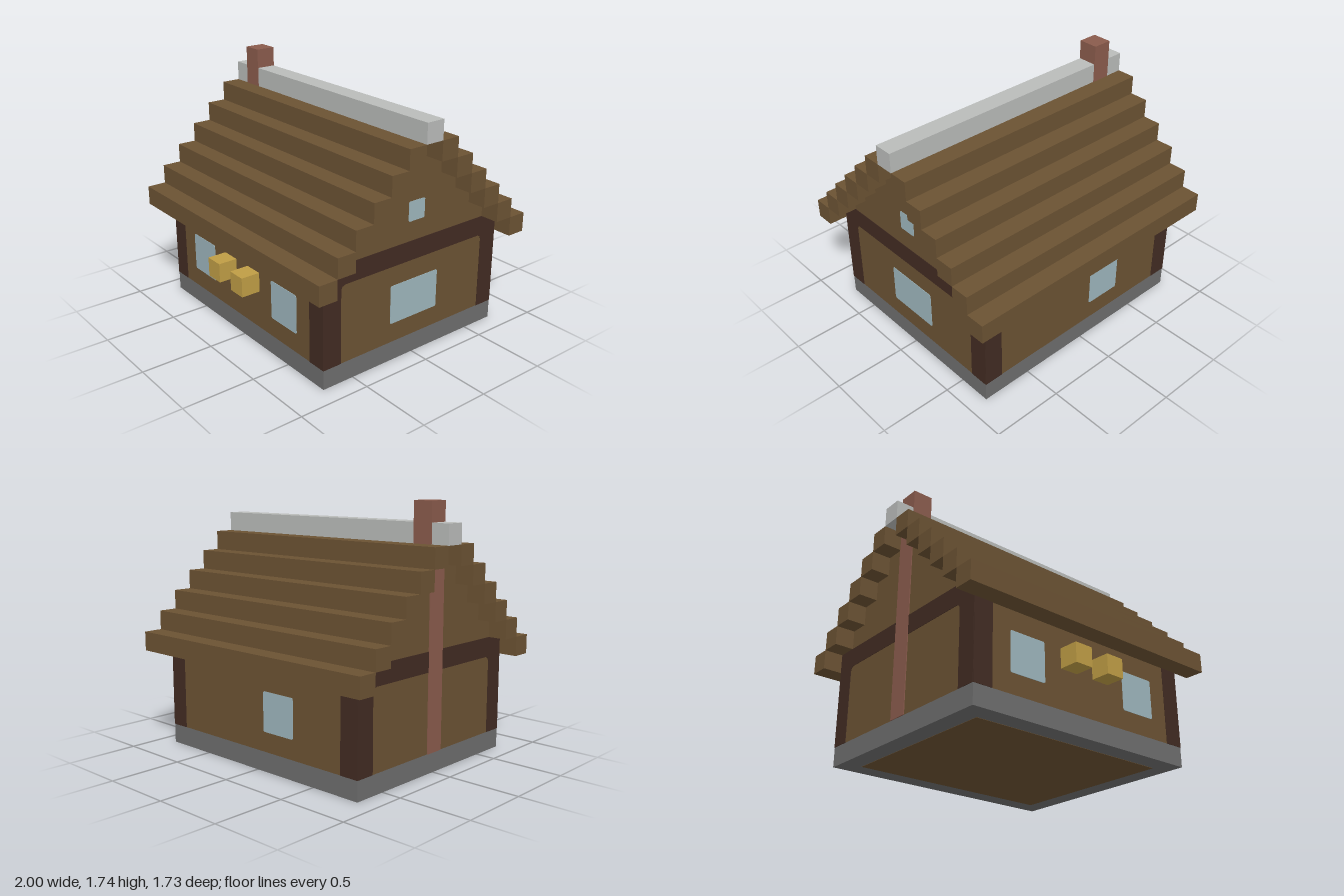
import * as THREE from 'three';

const U = 2 / 15;                 // building block size
const HX = 6.5 * U, HZ = 5.5 * U; // half width and half depth of the house
const T = 0.003;                  // thickness of flat details

function material(name, color) {
  const m = new THREE.MeshStandardMaterial({ color });
  m.name = name;
  return m;
}

export function createModel() {
  const wood = material('brown wood', 0x6b5233);
  const beam = material('dark beam', 0x412b22);
  const stone = material('grey stone', 0x6d6d6d);
  const glass = material('pale blue glass', 0x9db5bc);
  const brass = material('lamp yellow', 0xbf9d45);
  const brick = material('chimney brick', 0x8a5b4c);
  const cap = material('light grey ridge', 0xb9bbb9);

  const house = new THREE.Group();
  house.name = 'house';

  // Box between two corners
  function box(name, mat, x0, x1, y0, y1, z0, z1) {
    const mesh = new THREE.Mesh(new THREE.BoxGeometry(x1 - x0, y1 - y0, z1 - z0), mat);
    mesh.position.set((x0 + x1) / 2, (y0 + y1) / 2, (z0 + z1) / 2);
    mesh.name = name;
    house.add(mesh);
  }

  // Thin outline plate laid on a wall; angle turns it to face that wall's way
  function plate(name, mat, points, angle, distance) {
    const shape = new THREE.Shape(points.map(([x, y]) => new THREE.Vector2(x, y)));
    const geo = new THREE.ExtrudeGeometry(shape, { depth: T, bevelEnabled: false });
    geo.translate(0, 0, distance).rotateY(angle);
    const mesh = new THREE.Mesh(geo, mat);
    mesh.name = name;
    house.add(mesh);
  }

  // Window pane with clipped corners
  function pane(name, x0, x1, y0, y1, angle, distance) {
    const c = 0.008;
    plate(name, glass, [
      [x0 + c, y0], [x1 - c, y0], [x1, y0 + c], [x1, y1 - c],
      [x1 - c, y1], [x0 + c, y1], [x0, y1 - c], [x0, y0 + c],
    ], angle, distance);
  }

  // Stone footing, floor and walls
  box('footing', stone, -HX, HX, 0, U, -HZ, HZ);
  box('floor', wood, -HX + U, HX - U, -0.002, 0.01, -HZ + U, HZ - U);
  box('walls', wood, -HX, HX, U, 6 * U, -HZ, HZ);

  // Stepped gable and roof courses
  for (let i = 0; i < 6; i++) {
    const y0 = (5 + i) * U, z0 = (5.5 - i) * U;
    if (i > 0) box('gable', wood, -HX, HX, y0, y0 + U, -z0, z0);
    box('roofCourseFront', wood, -1, 1, y0, y0 + U, z0, z0 + U);
    box('roofCourseBack', wood, -1, 1, y0, y0 + U, -z0 - U, -z0);
  }
  box('ridge', cap, -1, 1, 11 * U, 12 * U, -U / 2, U / 2);

  // Chimney running down through the end wall
  box('chimney', brick, -HX - 2 * T, -HX + U, U, 13 * U, -U / 2 - T, U / 2 + T);

  // Corner posts on the long walls
  for (const angle of [0, Math.PI]) {
    for (const s of [-1, 1]) {
      const a = s * (HX - U / 2) - U / 2, b = a + U;
      plate('cornerPost', beam, [[a, U], [b, U], [b, 5 * U], [a, 5 * U]], angle, HZ);
    }
  }

  // Post and lintel frames on the end walls
  const i = HZ - U, r = 0.03;
  const frame = [
    [-HZ, U], [-i, U], [-i, 5 * U - r], [-i + 0.008, 5 * U - 0.01], [-i + r, 5 * U],
    [i - r, 5 * U], [i - 0.008, 5 * U - 0.01], [i, 5 * U - r], [i, U], [HZ, U],
    [HZ, 6 * U], [-HZ, 6 * U],
  ];
  for (const s of [-1, 1]) plate('endFrame', beam, frame, s * Math.PI / 2, HX);

  // Windows
  pane('frontWindow', -4.5 * U, -2.5 * U, 2 * U, 4 * U, 0, HZ);
  pane('frontWindow', 2.5 * U, 4.5 * U, 2 * U, 4 * U, 0, HZ);
  pane('backWindow', 0.5 * U, 2.5 * U, 2 * U, 4 * U, Math.PI, HZ);
  pane('sideWindow', -1.5 * U, 1.5 * U, 2 * U, 4 * U, Math.PI / 2, HX);
  pane('gableWindow', -0.5 * U, 0.5 * U, 7 * U, 8 * U, Math.PI / 2, HX);

  // Lamps on the front wall
  for (const s of [-1, 1]) {
    box('lamp', brass, s * U - U / 2, s * U + U / 2, 3 * U, 4 * U, HZ, HZ + U);
  }

  return house;
}
